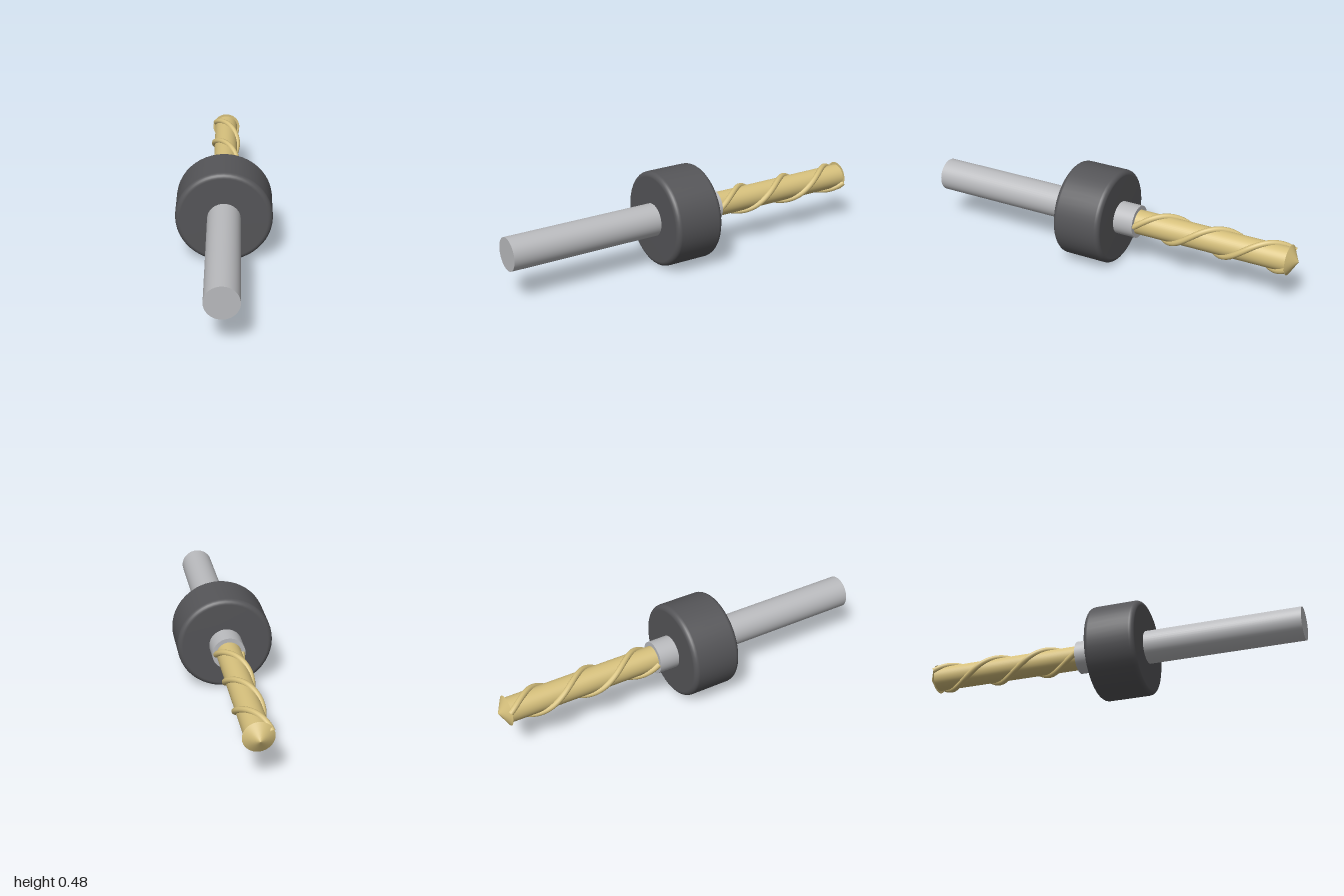
import * as THREE from 'three';

const AXIS_Y = 0.243;

export function createModel() {
  const group = new THREE.Group();
  const material = (name, color) => {
    const m = new THREE.MeshStandardMaterial({ color });
    m.name = name;
    return m;
  };
  const steel = material('steel', 0xb9babd);
  const rubber = material('dark collar', 0x555558);
  const gold = material('gold coating', 0xd6c07c);

  // everything is turned around an axis parallel to z
  const add = (name, geometry, mat) => {
    const mesh = new THREE.Mesh(geometry, mat);
    mesh.name = name;
    mesh.position.y = AXIS_Y;
    group.add(mesh);
    return mesh;
  };
  const rod = (name, rBack, rFront, zBack, zFront, mat) => {
    const g = new THREE.CylinderGeometry(rFront, rBack, zFront - zBack, 48);
    g.rotateX(Math.PI / 2);
    g.translate(0, 0, (zBack + zFront) / 2);
    return add(name, g, mat);
  };

  rod('shank', 0.083, 0.083, -0.155, 1, steel);
  rod('drillCore', 0.062, 0.062, -0.96, -0.15, gold);
  rod('drillTip', 0, 0.075, -1, -0.955, gold);

  // depth stop collar with rounded rims
  const R = 0.241, z0 = -0.05, z1 = 0.21, r = 0.025;
  const profile = [new THREE.Vector2(0, z0)];
  const corner = (zc, from) => {
    for (let i = 0; i <= 6; i++) {
      const a = from + (i / 6) * Math.PI / 2;
      profile.push(new THREE.Vector2(R - r + r * Math.cos(a), zc + r * Math.sin(a)));
    }
  };
  corner(z0 + r, -Math.PI / 2);
  corner(z1 - r, 0);
  profile.push(new THREE.Vector2(0, z1));
  const collar = new THREE.LatheGeometry(profile, 48);
  collar.rotateX(Math.PI / 2);
  add('collar', collar, rubber);

  // two spiral ridges wound around the core
  class Helix extends THREE.Curve {
    constructor(phase) { super(); this.phase = phase; }
    getPoint(t, target = new THREE.Vector3()) {
      const run = t * 0.805;
      const a = this.phase + (run / 0.56) * Math.PI * 2;
      return target.set(0.064 * Math.cos(a), 0.064 * Math.sin(a), -0.155 - run);
    }
  }
  for (const [name, phase] of [['leftRidge', 0], ['rightRidge', Math.PI]]) {
    add(name, new THREE.TubeGeometry(new Helix(phase), 96, 0.015, 10), gold);
  }
  return group;
}
